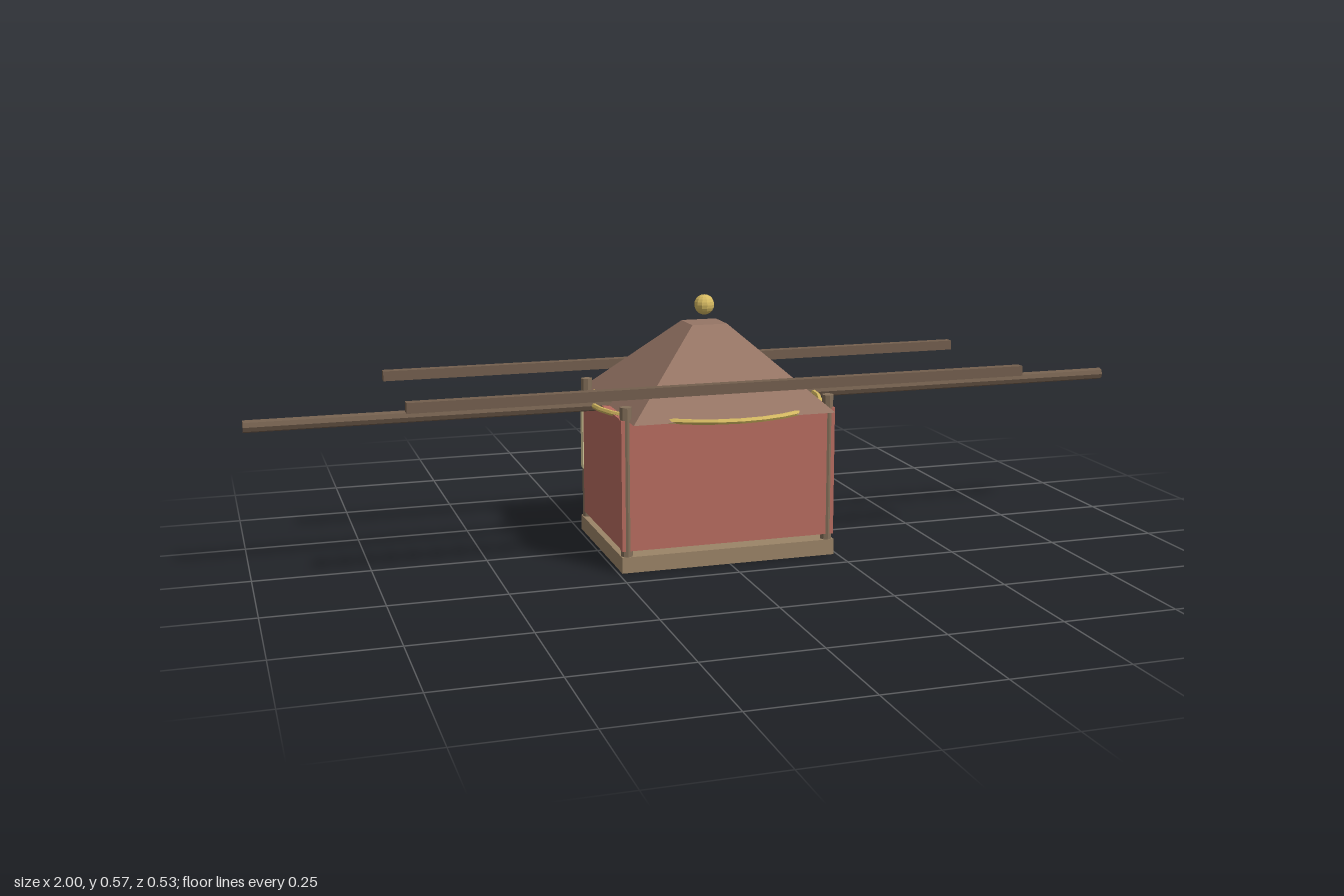
import * as THREE from 'three';

const mat = (color) => new THREE.MeshStandardMaterial({ color, flatShading: true });
const wood = mat(0x9b8467), postWood = mat(0x84705a), poleWood = mat(0x735f4e);
const roofBrown = mat(0x967565), red = mat(0xb86c60), cream = mat(0xd8cb9b), gold = mat(0xd6ba62);

export function createModel() {
  const model = new THREE.Group();
  model.name = 'sedanChair';

  const add = (name, geometry, material, x, y, z) => {
    const mesh = new THREE.Mesh(geometry, material);
    mesh.name = name;
    mesh.position.set(x, y, z);
    model.add(mesh);
    return mesh;
  };
  const box = (name, material, w, h, d, x, y, z) =>
    add(name, new THREE.BoxGeometry(w, h, d), material, x, y, z);

  // Floor slab
  box('floor', wood, 0.484, 0.035, 0.37, 0, 0.0175, 0);

  // Corner posts
  for (const x of [-1, 1]) {
    for (const z of [-1, 1]) {
      add('cornerPost', new THREE.CylinderGeometry(0.013, 0.013, 0.325, 8), postWood,
        x * 0.228, 0.1975, z * 0.172);
    }
  }

  // Wall panels, held slightly above the floor
  box('frontPanel', red, 0.482, 0.285, 0.02, 0, 0.19, 0.173);
  for (const x of [-1, 1]) {
    box('sidePanel', red, 0.02, 0.285, 0.33, x * 0.229, 0.19, 0);
  }

  // Half-height blind over the open back
  box('backBlind', cream, 0.482, 0.17, 0.02, 0, 0.235, -0.173);

  // Hipped roof with a flat top
  const roof = new THREE.CylinderGeometry(0.04 * Math.SQRT2, 0.225 * Math.SQRT2, 0.175, 4);
  roof.rotateY(Math.PI / 4);
  add('roof', roof, roofBrown, 0, 0.4175, 0);

  // Ring around the eaves
  const ring = new THREE.TorusGeometry(0.258, 0.006, 6, 32);
  ring.rotateX(Math.PI / 2);
  add('eavesRing', ring, gold, 0, 0.333, 0);

  // Ball finial above the roof
  add('finial', new THREE.SphereGeometry(0.0225, 12, 10), gold, 0, 0.544, 0);

  // Long central carrying pole
  const pole = new THREE.CylinderGeometry(0.0135, 0.0135, 2, 8);
  pole.rotateZ(Math.PI / 2);
  add('carryingPole', pole, poleWood, 0, 0.333, 0);

  // Square rails in front of and behind the roof
  for (const z of [-1, 1]) {
    box('sideRail', poleWood, 1.376, 0.022, 0.022, 0, 0.39, z * 0.183);
  }

  return model;
}
